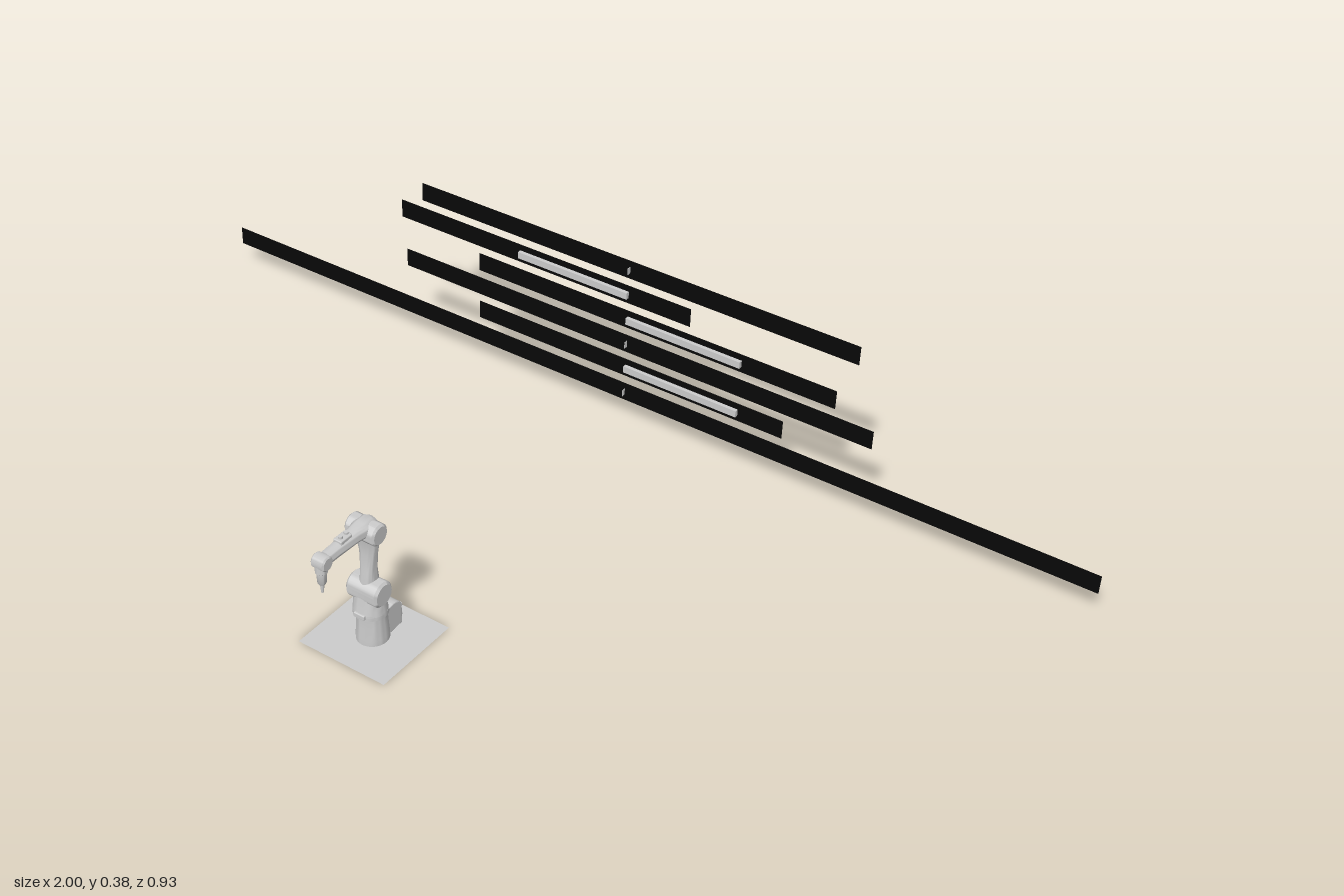
import * as THREE from 'three';
import { toCreasedNormals } from 'three/addons/utils/BufferGeometryUtils.js';
import { RoundedBoxGeometry } from 'three/addons/geometries/RoundedBoxGeometry.js';

const grey = new THREE.MeshStandardMaterial({ color: 0xcccccc });
const greyThin = new THREE.MeshStandardMaterial({ color: 0xcccccc, side: THREE.DoubleSide });
const black = new THREE.MeshStandardMaterial({ color: 0x080808 });

function add(parent, name, geometry, x = 0, y = 0, z = 0, material = grey) {
  const mesh = new THREE.Mesh(geometry, material);
  mesh.name = name;
  mesh.position.set(x, y, z);
  parent.add(mesh);
  return mesh;
}

// Closed body through oval sections [y, centre z, half width x, half depth z]
function loft(sections, sides = 32) {
  const first = sections[0], last = sections[sections.length - 1];
  const rings = [[first[0], first[1], 0, 0], ...sections, [last[0], last[1], 0, 0]];
  const pos = [], index = [];
  rings.forEach(([y, cz, rx, rz], r) => {
    for (let i = 0; i < sides; i++) {
      const a = (i / sides) * Math.PI * 2;
      pos.push(rx * Math.cos(a), y, cz + rz * Math.sin(a));
      if (r === rings.length - 1) continue;
      const p = r * sides + i, q = r * sides + (i + 1) % sides;
      index.push(p, p + sides, q, q, p + sides, q + sides);
    }
  });
  const g = new THREE.BufferGeometry();
  g.setAttribute('position', new THREE.Float32BufferAttribute(pos, 3));
  g.setIndex(index);
  return toCreasedNormals(g, 0.7);
}

// Joint drum lying along x, with chamfered rims
function drum(radius, half) {
  const c = radius * 0.18;
  const points = [[0, -half], [radius - c, -half], [radius, -half + c],
    [radius, half - c], [radius - c, half], [0, half]].map(p => new THREE.Vector2(...p));
  return toCreasedNormals(new THREE.LatheGeometry(points, 32).rotateZ(Math.PI / 2), 0.6);
}

function createRobot() {
  const robot = new THREE.Group();
  robot.name = 'robotArm';

  // Floor plate and pedestal
  add(robot, 'floorPlate', new THREE.PlaneGeometry(0.19, 0.185).rotateX(-Math.PI / 2), 0, 0.001, 0.327, greyThin);
  add(robot, 'pedestal', loft([
    [0.001, 0.33, 0.03, 0.031], [0.012, 0.33, 0.03, 0.031], [0.04, 0.33, 0.028, 0.029],
    [0.058, 0.331, 0.028, 0.028], [0.062, 0.333, 0.032, 0.032], [0.072, 0.333, 0.032, 0.032],
  ]));

  // Rear connector housing
  const profile = new THREE.Shape();
  profile.moveTo(-0.335, 0.004);
  profile.lineTo(-0.277, 0.008);
  profile.lineTo(-0.277, 0.048);
  profile.quadraticCurveTo(-0.282, 0.062, -0.3, 0.062);
  profile.lineTo(-0.335, 0.055);
  const housing = new THREE.ExtrudeGeometry(profile, {
    depth: 0.042, bevelEnabled: true, bevelSize: 0.002, bevelThickness: 0.002, bevelSegments: 2,
  }).translate(0, 0, -0.021).rotateY(Math.PI / 2);
  add(robot, 'connectorHousing', housing);
  for (const [x, y] of [[-0.012, 0.018], [0.012, 0.018], [-0.012, 0.038], [0.012, 0.038]])
    add(robot, 'connector', new THREE.CylinderGeometry(0.005, 0.005, 0.014, 16).rotateX(Math.PI / 2), x, y, 0.274);

  // Turning shoulder
  add(robot, 'turret', loft([
    [0.07, 0.334, 0.032, 0.031], [0.08, 0.334, 0.031, 0.029],
    [0.098, 0.335, 0.029, 0.026], [0.115, 0.336, 0.026, 0.022],
  ]));
  add(robot, 'turretLip', new RoundedBoxGeometry(0.024, 0.01, 0.012, 2, 0.002), 0, 0.07, 0.361);
  add(robot, 'shoulderJoint', drum(0.025, 0.034), 0, 0.114, 0.336);
  const motor = add(robot, 'shoulderMotor', loft([
    [-0.014, 0, 0.012, 0.012], [0.008, 0, 0.012, 0.012], [0.013, 0, 0.008, 0.008],
  ], 20), 0, 0.077, 0.301);
  motor.rotation.x = -0.25;

  // Upper arm, widening towards the elbow
  add(robot, 'upperArm', loft([
    [0.105, 0.335, 0.016, 0.019], [0.13, 0.334, 0.016, 0.019], [0.16, 0.334, 0.015, 0.015],
    [0.195, 0.333, 0.018, 0.013], [0.225, 0.334, 0.024, 0.014], [0.245, 0.337, 0.026, 0.017],
  ]));
  add(robot, 'elbowJoint', drum(0.021, 0.032), 0, 0.246, 0.338);

  // Forearm, lofted along z
  add(robot, 'forearm', loft([
    [0.322, -0.25, 0.016, 0.015], [0.33, -0.253, 0.02, 0.017], [0.352, -0.254, 0.02, 0.0155],
    [0.372, -0.253, 0.015, 0.0145], [0.42, -0.252, 0.013, 0.0125], [0.445, -0.252, 0.013, 0.012],
  ]).rotateX(Math.PI / 2));
  add(robot, 'forearmCover', new RoundedBoxGeometry(0.018, 0.008, 0.03, 2, 0.002), 0, 0.265, 0.398);
  for (const z of [0.389, 0.404])
    add(robot, 'cableFitting', new THREE.CylinderGeometry(0.004, 0.004, 0.006, 16), 0, 0.27, z);

  // Wrist and tool
  add(robot, 'wristJoint', drum(0.014, 0.014), 0, 0.251, 0.454);
  add(robot, 'wrist', loft([
    [0.205, 0.456, 0.006, 0.006], [0.209, 0.456, 0.008, 0.008], [0.229, 0.456, 0.009, 0.009],
    [0.231, 0.456, 0.011, 0.011], [0.25, 0.456, 0.011, 0.011],
  ], 24));
  add(robot, 'toolTip', new THREE.CylinderGeometry(0.004, 0.0025, 0.02, 16), 0, 0.197, 0.456);
  return robot;
}

export function createModel() {
  const model = new THREE.Group();
  model.name = 'robotArmWithIndicatorPanel';
  model.add(createRobot());

  // Stacked strips: [centre y, left end, right end, end of the indicator that starts at x = 0]
  const panel = new THREE.Group();
  panel.name = 'indicatorPanel';
  const rows = [
    [0.357, -0.497, 0.492, 0.001], [0.301, -0.55, 0.138, -0.255], [0.245, -0.355, 0.455, 0.255],
    [0.189, -0.539, 0.537, 0.001], [0.133, -0.354, 0.352, 0.255], [0.076, -1, 1, 0.001],
  ];
  for (const [y, x0, x1, end] of rows) {
    add(panel, 'strip', new THREE.BoxGeometry(x1 - x0, 0.039, 0.001), (x0 + x1) / 2, y, -0.466, black);
    add(panel, 'indicatorBar', new THREE.BoxGeometry(Math.abs(end), 0.014, 0.008), end / 2, y, -0.461);
  }
  model.add(panel);
  return model;
}
